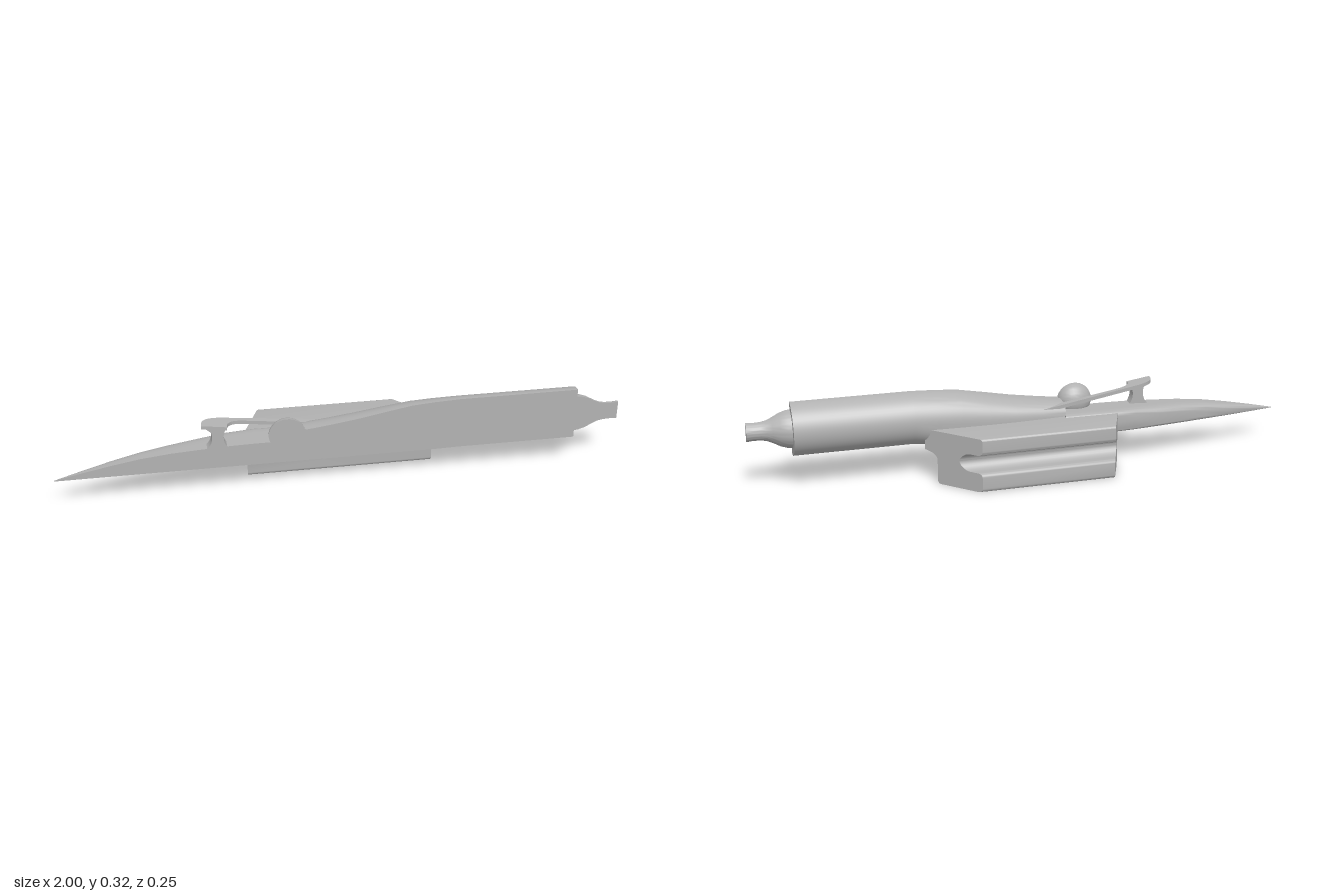
import * as THREE from 'three';
import { toCreasedNormals } from 'three/addons/utils/BufferGeometryUtils.js';

const CUT = 0.125; // flat centre plane of the half model
const hullGrey = new THREE.MeshStandardMaterial({ color: 0xb2b2b2 });
hullGrey.name = 'hull grey';

function addMesh(group, name, geometry, crease = 0.6) {
  const mesh = new THREE.Mesh(toCreasedNormals(geometry, crease), hullGrey);
  mesh.name = name;
  group.add(mesh);
}

// Closed half-body along x; section = [x, centreY, up, down, width, topPower, bottomPower]
function halfLoft(sections, sides = 28) {
  const pos = [], idx = [], row = sides + 1;
  for (const [x, cy, up, down, width, pt = 2, pb = 2] of sections) {
    for (let j = 0; j <= sides; j++) {
      const a = (j / sides) * Math.PI, c = Math.cos(a), s = Math.max(0, Math.sin(a));
      const p = 2 / (c >= 0 ? pt : pb);
      const y = c >= 0 ? up * c ** p : -down * (-c) ** p;
      const edge = j === 0 || j === sides ? 0 : s ** p;
      pos.push(x, cy + y, CUT - width * edge);
    }
  }
  const n = sections.length;
  for (let i = 0; i < n - 1; i++) {
    for (let j = 0; j < row; j++) {
      const k = (j + 1) % row;
      const a = i * row + j, b = i * row + k, c = a + row, d = b + row;
      idx.push(a, c, b, b, c, d);
    }
  }
  const last = (n - 1) * row;
  for (let j = 1; j < sides; j++) idx.push(0, j, j + 1, last, last + j + 1, last + j);
  const g = new THREE.BufferGeometry();
  g.setAttribute('position', new THREE.Float32BufferAttribute(pos, 3));
  g.setIndex(idx);
  return g;
}

function moveVertices(g, rule) {
  const p = g.attributes.position, v = new THREE.Vector3();
  for (let i = 0; i < p.count; i++) {
    rule(v.fromBufferAttribute(p, i));
    p.setXYZ(i, v.x, v.y, v.z);
  }
  return g;
}

// Side pod: C-shaped section swept along x, with slanted ends
function podGeometry() {
  const s = new THREE.Shape(); // x = outward distance, y = height
  const top = 0.197, out = 0.125, r = 0.016;
  s.moveTo(-0.045, top);
  s.lineTo(out - 0.008, top);
  s.quadraticCurveTo(out, top, out, top - 0.008);
  s.lineTo(out, 0.135 + r);
  s.quadraticCurveTo(out, 0.135, out - r, 0.135);
  s.lineTo(0.09, 0.135);
  s.bezierCurveTo(0.075, 0.135, 0.058, 0.118, 0.057, 0.102);
  s.bezierCurveTo(0.058, 0.086, 0.075, 0.07, 0.09, 0.07);
  s.lineTo(out - r, 0.07);
  s.quadraticCurveTo(out, 0.07, out, 0.07 - r);
  s.lineTo(out, r);
  s.quadraticCurveTo(out, 0, out - r, 0);
  s.lineTo(0.004, 0);
  s.quadraticCurveTo(-0.008, 0, -0.008, 0.012);
  s.lineTo(-0.008, 0.09);
  s.quadraticCurveTo(-0.01, 0.115, -0.045, 0.121);
  s.closePath();
  const g = new THREE.ExtrudeGeometry(s, { depth: 1, bevelEnabled: false, curveSegments: 7 });
  g.rotateY(Math.PI / 2);
  return moveVertices(g, (v) => {
    const t = (0.008 - v.z) / 0.133;
    const front = -0.325 + 0.055 * t, back = 0.35 - 0.13 * t;
    v.x = front + (back - front) * v.x;
  });
}

// Cockpit rim: sloping U-shaped plate
function rimGeometry() {
  const s = new THREE.Shape(); // x along hull, y = z
  s.moveTo(-0.488, CUT);
  s.bezierCurveTo(-0.49, 0.08, -0.465, 0.066, -0.42, 0.06);
  s.lineTo(-0.13, 0.042);
  s.lineTo(0.0, 0.034);
  s.lineTo(-0.02, 0.07);
  s.lineTo(-0.13, 0.066);
  s.lineTo(-0.34, 0.074);
  s.bezierCurveTo(-0.38, 0.076, -0.4, 0.09, -0.4, CUT);
  s.closePath();
  const g = new THREE.ExtrudeGeometry(s, { depth: 0.013, bevelEnabled: false, curveSegments: 10 });
  g.rotateX(Math.PI / 2);
  return moveVertices(g, (v) => { v.y += 0.292 - 0.145 * (v.x + 0.488); });
}

// Front support under the rim
function postGeometry() {
  const s = new THREE.Shape();
  s.moveTo(-0.48, 0.193);
  s.quadraticCurveTo(-0.445, 0.215, -0.455, 0.262);
  s.lineTo(-0.475, 0.28);
  s.lineTo(-0.405, 0.272);
  s.quadraticCurveTo(-0.425, 0.23, -0.395, 0.193);
  s.closePath();
  const g = new THREE.ExtrudeGeometry(s, { depth: 0.035, bevelEnabled: false, curveSegments: 8 });
  return g.translate(0, 0, CUT - 0.035);
}

export function createModel() {
  const model = new THREE.Group();
  model.name = 'halfSpeeder';

  // Nose and open deck
  addMesh(model, 'nose', halfLoft([
    [-1, 0.121, 0.001, 0.001, 0.003, 4, 6],
    [-0.9, 0.13, 0.014, 0.01, 0.024, 4, 8],
    [-0.8, 0.14, 0.024, 0.02, 0.045, 4, 8],
    [-0.7, 0.15, 0.031, 0.03, 0.063, 4, 8],
    [-0.6, 0.156, 0.036, 0.036, 0.08, 4, 8],
    [-0.5, 0.16, 0.038, 0.04, 0.095, 5, 8],
    [-0.4, 0.162, 0.041, 0.042, 0.108, 7, 8],
    [-0.3, 0.162, 0.043, 0.042, 0.115, 8, 8],
    [-0.13, 0.162, 0.043, 0.042, 0.112, 8, 8],
  ]));

  // Rear fuselage, blending from a flat-bottomed section to a half cylinder
  addMesh(model, 'fuselage', halfLoft([
    [-0.135, 0.19, 0.053, 0.07, 0.092, 3, 8],
    [-0.05, 0.19, 0.064, 0.07, 0.098, 2.7, 7],
    [0.05, 0.195, 0.074, 0.075, 0.103, 2.5, 6],
    [0.15, 0.202, 0.086, 0.082, 0.105, 2.3, 5],
    [0.25, 0.21, 0.096, 0.09, 0.104, 2.15, 4],
    [0.33, 0.216, 0.096, 0.096, 0.102, 2.05, 2.8],
    [0.42, 0.219, 0.097, 0.097, 0.098],
    [0.845, 0.219, 0.097, 0.097, 0.097],
  ]));

  // Exhaust nozzle
  const nozzle = [[0.84, 0.07], [0.86, 0.068], [0.885, 0.06], [0.91, 0.046], [0.93, 0.037],
    [0.95, 0.033], [0.975, 0.032], [1, 0.034]];
  addMesh(model, 'nozzle', halfLoft(nozzle.map(([x, r]) => [x, 0.219, r, r, r])));

  // Headrest dome in the cockpit
  const dome = [];
  for (let i = 0; i <= 18; i++) {
    const a = (i / 18) * Math.PI, r = Math.max(0.0005, Math.sin(a));
    dome.push([-0.193 - 0.065 * Math.cos(a), 0.23, 0.062 * r, 0.062 * r, 0.05 * r]);
  }
  addMesh(model, 'headrest', halfLoft(dome));

  addMesh(model, 'cockpitRim', rimGeometry());
  addMesh(model, 'rimPost', postGeometry());
  addMesh(model, 'sidePod', podGeometry());
  return model;
}
